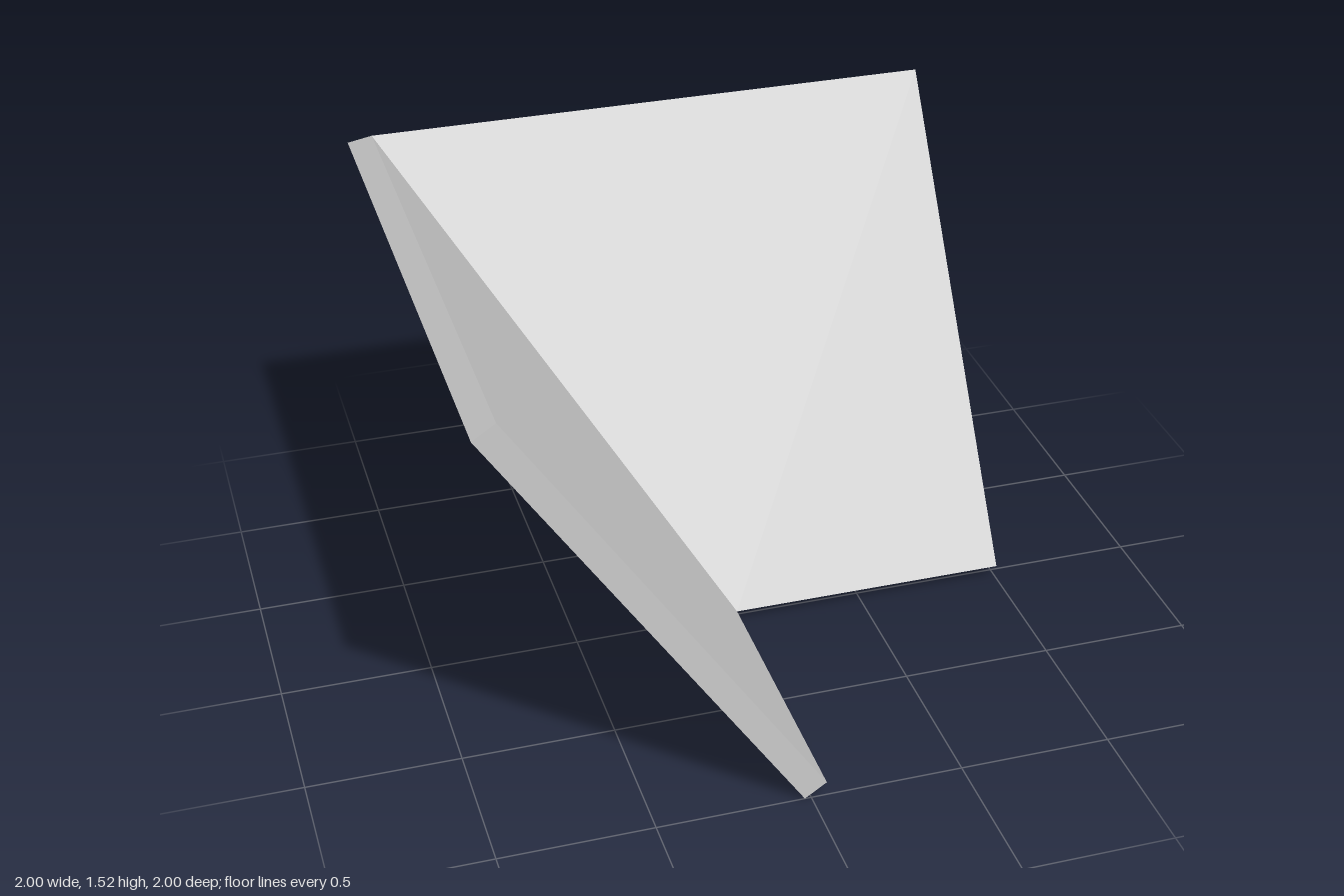
import * as THREE from 'three';

// Slanted panel cross-section (distance from centre, height), counter-clockwise
const PROFILE = [[-0.021, 0], [0.05, 0.048], [-0.928, 1.52], [-1, 1.472]];
const END = 1;

// Sweeps the profile from the mitred corner (z = x) to the straight end;
// swapped exchanges x and z to give the other wing.
function panelGeometry(swapped) {
  const positions = [];
  const point = (x, y, z) => (swapped ? [z, y, x] : [x, y, z]);
  const triangle = (a, b, c) => {
    for (const p of swapped ? [a, c, b] : [a, b, c]) positions.push(...p);
  };
  const quad = (a, b, c, d) => {
    triangle(a, b, c);
    triangle(a, c, d);
  };

  const mitre = PROFILE.map(([d, y]) => point(d, y, d));
  const end = PROFILE.map(([d, y]) => point(d, y, END));
  for (let i = 0; i < PROFILE.length; i++) {
    const j = (i + 1) % PROFILE.length;
    quad(mitre[i], mitre[j], end[j], end[i]);
  }
  quad(...end);

  const geometry = new THREE.BufferGeometry();
  geometry.setAttribute('position', new THREE.Float32BufferAttribute(positions, 3));
  geometry.computeVertexNormals();
  return geometry;
}

export function createModel() {
  const group = new THREE.Group();
  group.name = 'slopedCornerPanels';
  const material = new THREE.MeshStandardMaterial({ color: 0xcccccc, flatShading: true });

  // Two mirrored wings meeting at the mitred corner
  for (const [name, swapped] of [['sidePanel', false], ['backPanel', true]]) {
    const panel = new THREE.Mesh(panelGeometry(swapped), material);
    panel.name = name;
    group.add(panel);
  }
  return group;
}
